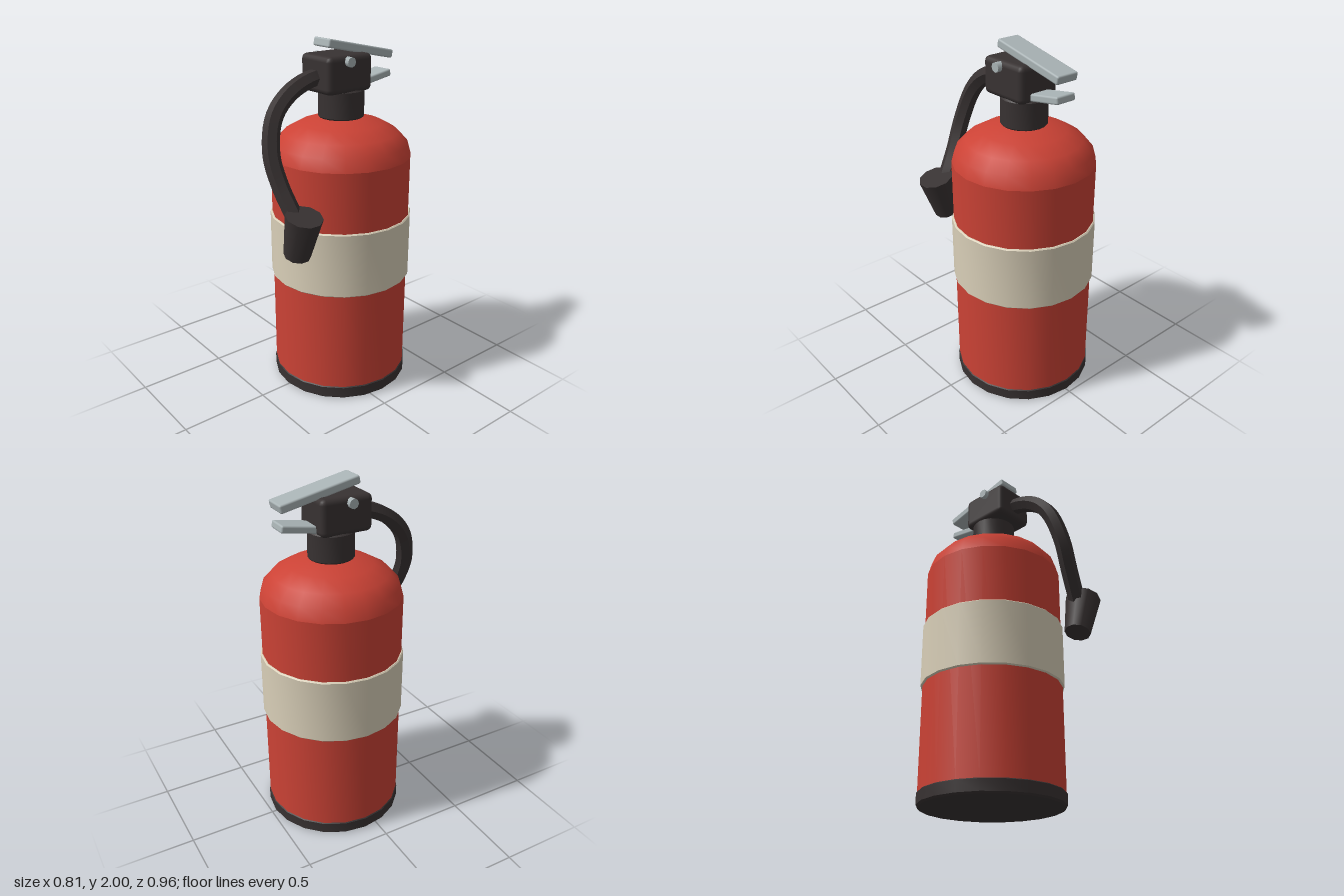
import * as THREE from 'three';
import { toCreasedNormals } from 'three/addons/utils/BufferGeometryUtils.js';
import { RoundedBoxGeometry } from 'three/addons/geometries/RoundedBoxGeometry.js';

const SIDES = 20;
const AXIS_Z = -0.08; // the tank stands slightly behind the centre

function material(name, color) {
  const m = new THREE.MeshStandardMaterial({ color });
  m.name = name;
  return m;
}

export function createModel() {
  const red = material('red paint', 0xcb4235);
  const cream = material('cream label', 0xd9cfb8);
  const dark = material('dark rubber', 0x383232);
  const metal = material('grey metal', 0xa9b3b5);

  const model = new THREE.Group();
  model.name = 'fireExtinguisher';

  const add = (name, geometry, mat, x, y, z) => {
    const mesh = new THREE.Mesh(geometry, mat);
    mesh.name = name;
    mesh.position.set(x, y, z);
    model.add(mesh);
    return mesh;
  };

  // Turned part from [radius, height] pairs, bottom to top
  const turned = (name, profile, mat, sides = SIDES) => {
    const points = profile.map(([r, y]) => new THREE.Vector2(r, y));
    const geometry = toCreasedNormals(new THREE.LatheGeometry(points, sides), 0.6);
    return add(name, geometry, mat, 0, 0, AXIS_Z);
  };

  // Solid ring or disc with a small bevel on both rims
  const bevelled = (r, y0, y1, b) => [
    [0, y0], [r - b, y0], [r, y0 + b], [r, y1 - b], [r - b, y1], [0, y1],
  ];

  // Tank
  turned('base', bevelled(0.397, 0, 0.08, 0.01), dark);
  turned('tankBody', [[0.392, 0.07], [0.392, 1.36]], red);
  turned('labelBand', bevelled(0.403, 0.655, 1.025, 0.006), cream);
  const dome = [];
  for (let i = 0; i <= 5; i++) {
    const a = (i / 5) * Math.PI / 2;
    dome.push([i === 5 ? 0 : 0.392 * Math.cos(a), 1.36 + 0.22 * Math.sin(a)]);
  }
  turned('tankShoulder', dome, red);

  // Valve
  turned('valveCollar', bevelled(0.127, 1.565, 1.73, 0.012), dark);
  add('valveHead', new RoundedBoxGeometry(0.25, 0.2, 0.3, 2, 0.03), dark, 0, 1.817, -0.047);

  // Safety pin through the valve head
  const pin = add('safetyPin', new THREE.CylinderGeometry(0.027, 0.027, 0.302, 8), metal, 0, 1.885, -0.027);
  pin.rotation.z = Math.PI / 2;

  // Squeeze lever and carrying handle
  const lever = add('squeezeLever', new RoundedBoxGeometry(0.136, 0.046, 0.46, 2, 0.01), metal, 0, 1.932, -0.168);
  lever.rotation.x = -0.21;
  const handle = add('carryHandle', new RoundedBoxGeometry(0.125, 0.04, 0.28, 2, 0.01), metal, 0, 1.76, -0.25);
  handle.rotation.x = 0.17;

  // Hose
  const path = new THREE.CatmullRomCurve3([
    [0, 1.79, 0.04], [0, 1.8, 0.11], [-0.003, 1.74, 0.26], [0.003, 1.63, 0.365],
    [0.045, 1.45, 0.418], [0.11, 1.29, 0.41], [0.185, 1.16, 0.39], [0.21, 1.11, 0.385],
  ].map((p) => new THREE.Vector3(...p)));
  add('hose', toCreasedNormals(new THREE.TubeGeometry(path, 28, 0.047, 6), 0.9), dark, 0, 0, 0);

  // Discharge nozzle
  const nozzle = add('nozzle', new THREE.CylinderGeometry(0.1, 0.073, 0.245, 10), dark, 0.235, 1.05, 0.38);
  nozzle.rotation.z = -0.28;

  return model;
}
